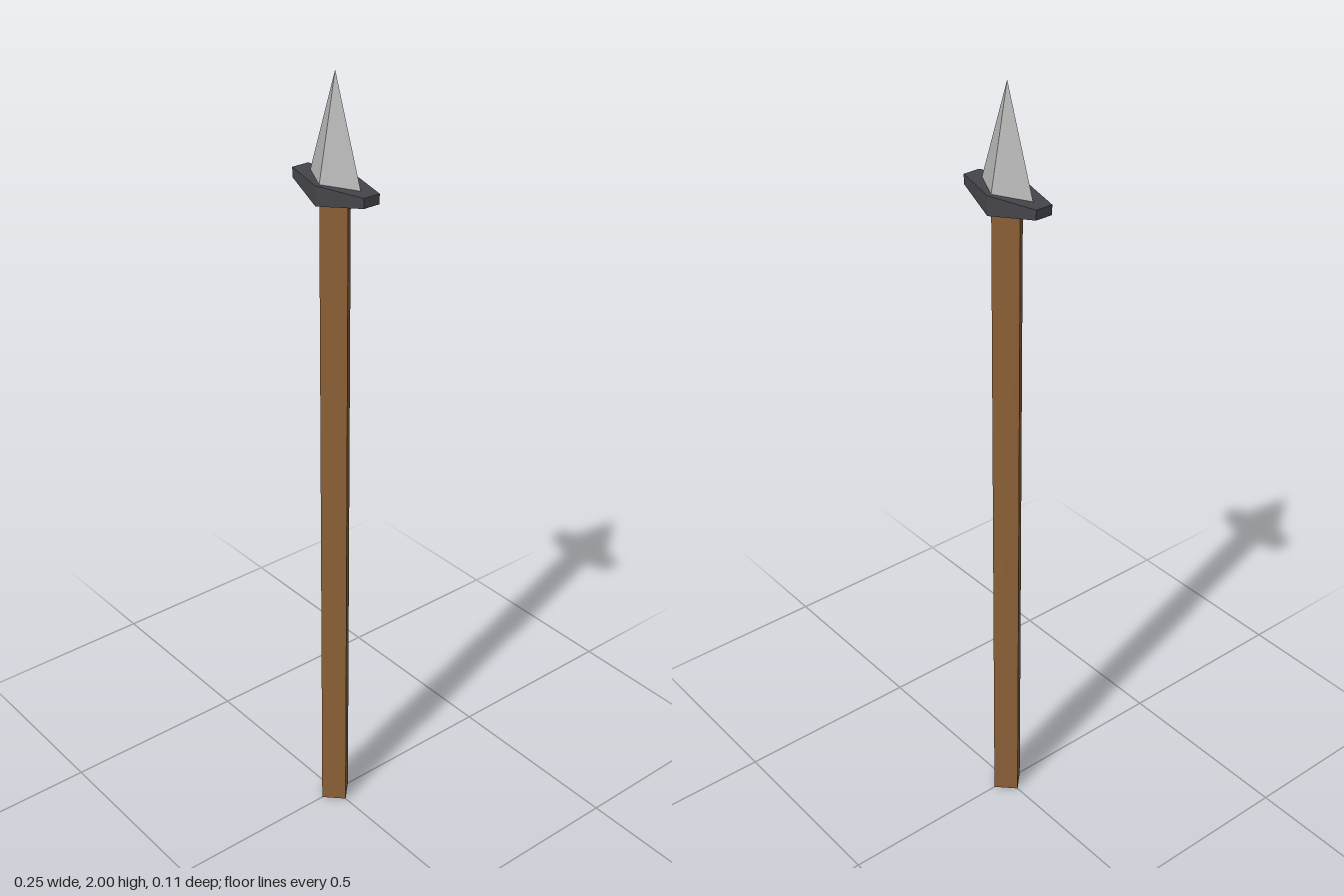
import * as THREE from 'three';

const GUARD_BOTTOM = 1.705, GUARD_TOP = 1.753;

function part(name, geometry, color, y) {
  const material = new THREE.MeshStandardMaterial({ color, flatShading: true });
  const mesh = new THREE.Mesh(geometry, material);
  mesh.name = name;
  mesh.position.y = y;
  return mesh;
}

// Box with a middle row, its ends narrowed and their underside raised
function guardGeometry() {
  const height = GUARD_TOP - GUARD_BOTTOM;
  const geometry = new THREE.BoxGeometry(0.25, height, 0.112, 2, 1, 1);
  const p = geometry.attributes.position;
  for (let i = 0; i < p.count; i++) {
    if (Math.abs(p.getX(i)) < 0.01) continue;
    p.setZ(i, p.getZ(i) * 0.4);
    if (p.getY(i) < 0) p.setY(i, p.getY(i) + 0.024);
  }
  geometry.computeVertexNormals();
  return geometry;
}

export function createModel() {
  const model = new THREE.Group();
  model.name = 'spear';

  // Square shaft, turned so its edges face front and sides
  const shaftHeight = GUARD_BOTTOM + 0.005;
  const shaft = new THREE.CylinderGeometry(0.045, 0.045, shaftHeight, 4);
  model.add(part('shaft', shaft, 0x8f6238, shaftHeight / 2));

  // Six-sided guard with a flat top
  model.add(part('guard', guardGeometry(), 0x45444a, (GUARD_BOTTOM + GUARD_TOP) / 2));

  // Diamond-based pyramid tip
  const tipHeight = 2 - GUARD_TOP;
  const tip = new THREE.ConeGeometry(0.045, tipHeight, 4);
  tip.scale(0.088 / 0.045, 1, 1);
  model.add(part('spearTip', tip, 0xb4b4b4, GUARD_TOP + tipHeight / 2));

  return model;
}
